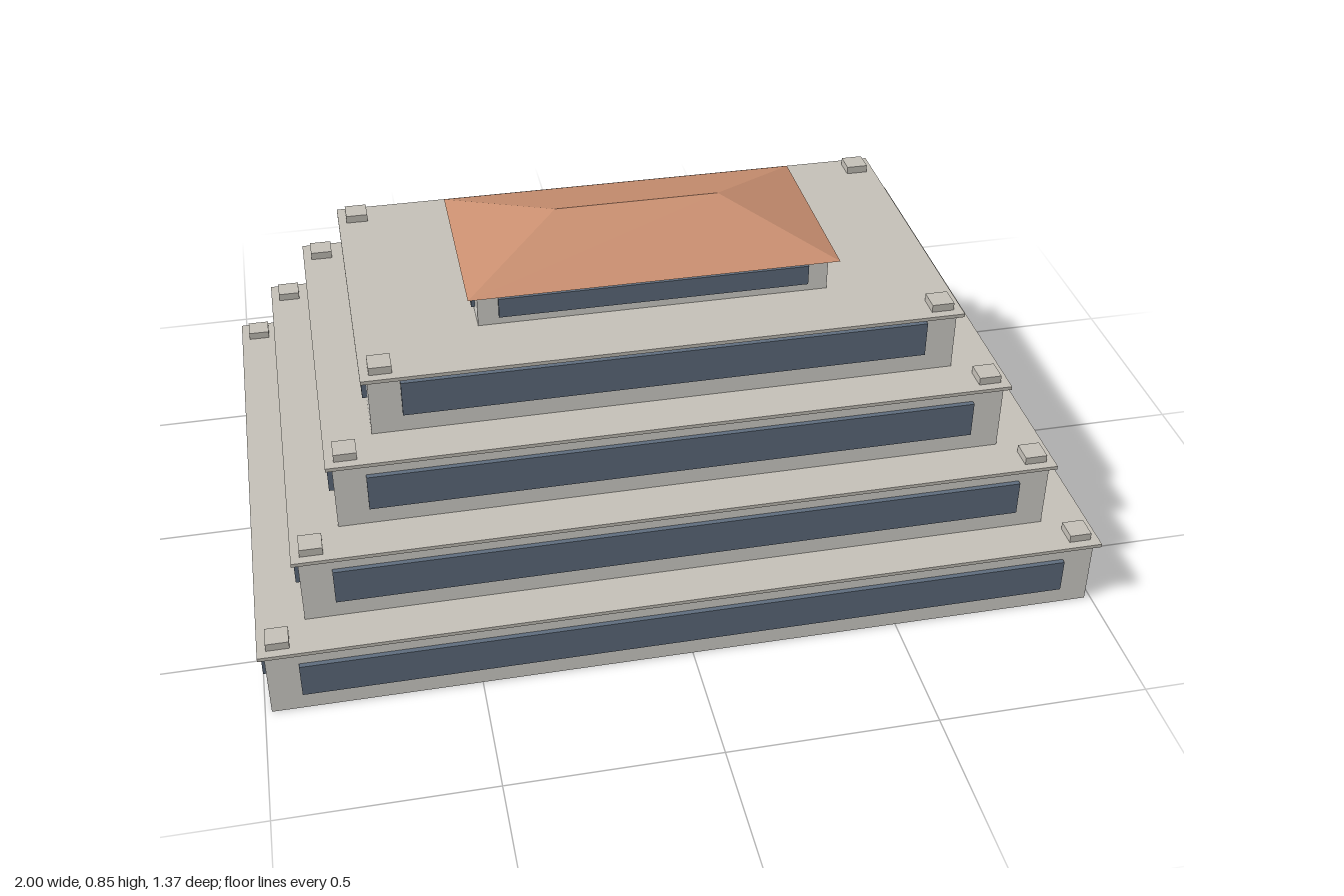
import * as THREE from 'three';

const material = (color, extra = {}) => new THREE.MeshStandardMaterial({ color, ...extra });

// Box centred on (x, z) with its bottom at y
function box(name, mat, [w, h, d], [x, y, z]) {
  const mesh = new THREE.Mesh(new THREE.BoxGeometry(w, h, d), mat);
  mesh.name = name;
  mesh.position.set(x, y + h / 2, z);
  return mesh;
}

// Hipped roof: a box whose top corners are drawn in to a ridge along x
function hipRoof(halfX, halfZ, ridge, height) {
  const a = [-halfX, 0, halfZ], b = [halfX, 0, halfZ], c = [halfX, 0, -halfZ], d = [-halfX, 0, -halfZ];
  const l = [-ridge, height, 0], r = [ridge, height, 0];
  const faces = [[a, b, r], [a, r, l], [c, d, l], [c, l, r], [b, c, r], [d, a, l], [a, d, c], [a, c, b]];
  const geometry = new THREE.BufferGeometry();
  geometry.setAttribute('position', new THREE.Float32BufferAttribute(faces.flat(2), 3));
  geometry.computeVertexNormals();
  return geometry;
}

export function createModel() {
  const model = new THREE.Group();
  model.name = 'steppedBuilding';

  const wall = material(0xd6d4ce);
  const stone = material(0xc5c1b8);
  const glass = material(0x5f6d7e);
  const tile = material(0xc98f70, { flatShading: true });

  // Wall half sizes, base and top of wall, window sill and head, terrace or not
  const storeys = [
    { x: 0.985, z: 0.674, y0: 0, y1: 0.169, sill: 0.05, head: 0.135, terrace: true },
    { x: 0.888, z: 0.577, y0: 0.178, y1: 0.346, sill: 0.227, head: 0.315, terrace: true },
    { x: 0.79, z: 0.478, y0: 0.355, y1: 0.523, sill: 0.403, head: 0.493, terrace: true },
    { x: 0.692, z: 0.38, y0: 0.532, y1: 0.678, sill: 0.582, head: 0.67, terrace: true },
    { x: 0.42, z: 0.218, y0: 0.687, y1: 0.772, sill: 0.709, head: 0.759, terrace: false },
  ];

  storeys.forEach((s, i) => {
    const storey = new THREE.Group();
    storey.name = `storey${i + 1}`;
    storey.add(box('walls', wall, [2 * s.x, s.y1 - s.y0, 2 * s.z], [0, s.y0, 0]));

    // Window bands on all four sides
    const inset = s.terrace ? 0.074 : 0.049;
    const out = s.terrace ? 0.012 : 0.009;
    const h = s.head - s.sill;
    for (const side of [1, -1]) {
      storey.add(box(side > 0 ? 'frontWindow' : 'backWindow', glass,
        [2 * (s.x - inset), h, out], [0, s.sill, side * (s.z + out / 2)]));
      storey.add(box(side > 0 ? 'leftWindow' : 'rightWindow', glass,
        [out, h, 2 * (s.z - inset)], [side * (s.x + out / 2), s.sill, 0]));
    }

    // Terrace slab with a block at each corner
    if (s.terrace) {
      const sx = s.x + 0.015, sz = s.z + 0.013;
      storey.add(box('terraceSlab', stone, [2 * sx, 0.009, 2 * sz], [0, s.y1, 0]));
      for (const x of [-1, 1]) for (const z of [-1, 1]) {
        storey.add(box('cornerBlock', stone, [0.053, 0.019, 0.053],
          [x * (sx - 0.047), s.y1 + 0.009, z * (sz - 0.048)]));
      }
    }
    model.add(storey);
  });

  // Tiled roof
  const roof = new THREE.Mesh(hipRoof(0.443, 0.241, 0.2, 0.08), tile);
  roof.name = 'roof';
  roof.position.y = 0.772;
  model.add(roof);

  return model;
}
